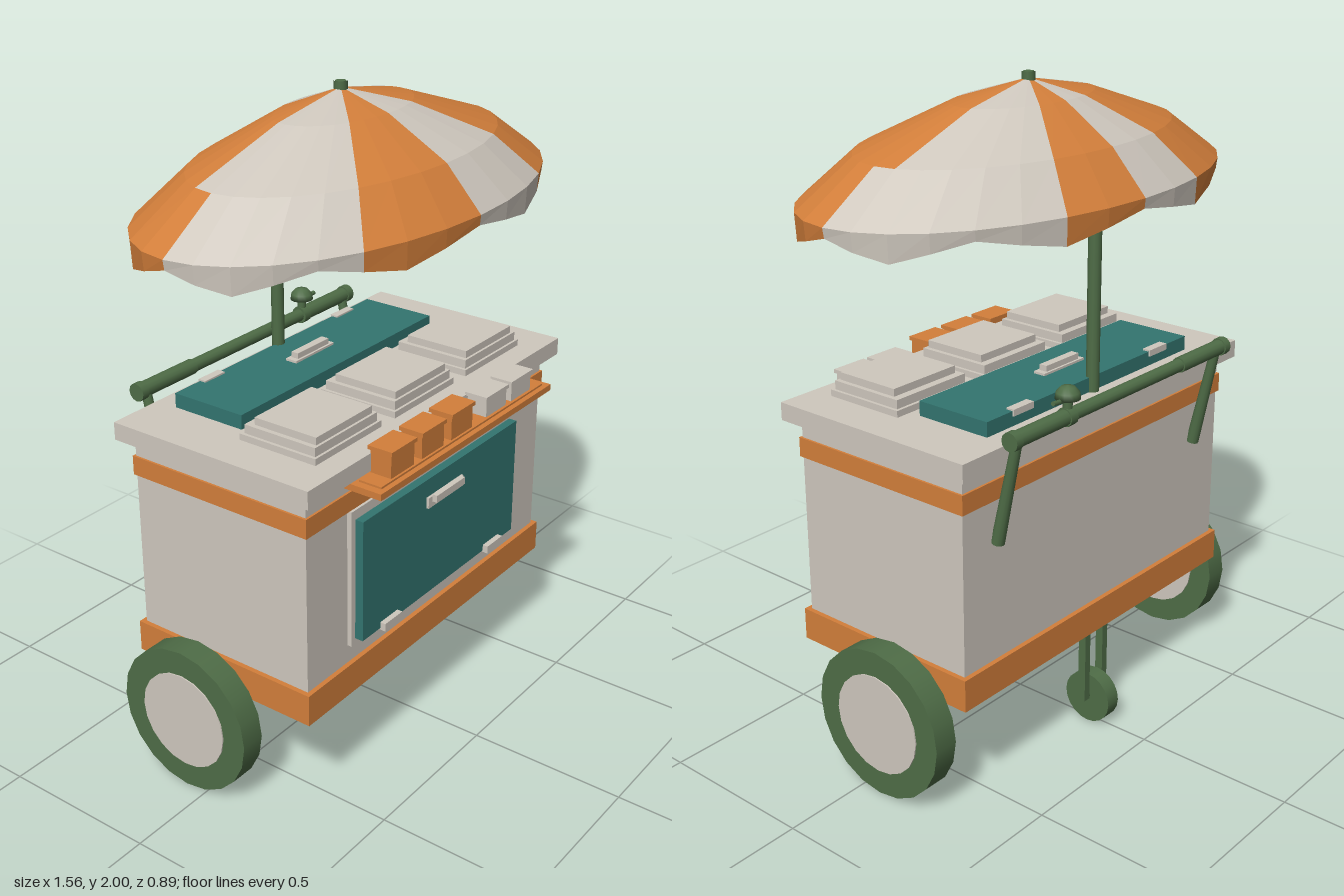
import * as THREE from 'three';

const mat = (name, color) => Object.assign(new THREE.MeshStandardMaterial({ color }), { name });

export function createModel() {
  const cream = mat('cream', 0xcfc8be), orange = mat('orange', 0xd37f3b);
  const green = mat('green', 0x4f6d47), teal = mat('teal', 0x337570);
  const model = new THREE.Group();
  model.name = 'umbrellaCart';

  const add = (name, geo, material, parent = model) => {
    const m = new THREE.Mesh(geo, material);
    m.name = name;
    parent.add(m);
    return m;
  };
  // Box given by its limits on each axis
  const box = (name, material, x0, x1, y0, y1, z0, z1, parent) => {
    const m = add(name, new THREE.BoxGeometry(x1 - x0, y1 - y0, z1 - z0), material, parent);
    m.position.set((x0 + x1) / 2, (y0 + y1) / 2, (z0 + z1) / 2);
    return m;
  };
  // Rod between two points, with a radius at each end
  const rod = (name, material, a, b, ra, rb = ra, sides = 12, parent = model) => {
    const p = new THREE.Vector3(...a), q = new THREE.Vector3(...b), d = q.clone().sub(p);
    const m = add(name, new THREE.CylinderGeometry(rb, ra, d.length(), sides), material, parent);
    m.position.copy(p).add(q).multiplyScalar(0.5);
    m.quaternion.setFromUnitVectors(new THREE.Vector3(0, 1, 0), d.normalize());
    return m;
  };

  // Cabinet
  box('cabinet', cream, -0.61, 0.61, 0.35, 1.05, -0.31, 0.31);
  box('lowerBand', orange, -0.625, 0.625, 0.33, 0.43, -0.325, 0.325);
  box('upperBand', orange, -0.617, 0.617, 0.93, 0.99, -0.317, 0.317);
  box('countertop', cream, -0.65, 0.65, 1.045, 1.1, -0.35, 0.35);

  // Front door
  box('doorFrame', cream, -0.425, 0.425, 0.49, 0.93, 0.3, 0.325);
  box('door', teal, -0.407, 0.407, 0.51, 0.9, 0.32, 0.352);
  box('doorHandlePlate', cream, -0.093, 0.093, 0.807, 0.842, 0.35, 0.36);
  box('doorHandle', cream, -0.075, 0.075, 0.825, 0.848, 0.36, 0.377);
  for (const x of [-0.278, 0.278]) box('doorHinge', cream, x - 0.043, x + 0.043, 0.505, 0.53, 0.35, 0.37);

  // Front shelf with its tubs
  box('shelf', orange, -0.45, 0.45, 1.015, 1.035, 0.3, 0.442);
  box('shelfTray', orange, -0.425, 0.425, 1.035, 1.041, 0.35, 0.425);
  for (const x of [-0.315, -0.167, -0.018]) {
    box('tub', orange, x - 0.055, x + 0.055, 1.04, 1.112, 0.348, 0.418);
    box('tubLid', orange, x - 0.06, x + 0.06, 1.112, 1.124, 0.342, 0.424);
  }
  for (const x of [0.172, 0.312]) {
    box('cup', cream, x - 0.055, x + 0.055, 1.04, 1.095, 0.35, 0.416);
    box('cupLid', cream, x - 0.062, x + 0.062, 1.095, 1.107, 0.345, 0.42);
  }

  // Stepped lids on the counter
  for (const x of [-0.37, 0, 0.37]) {
    box('lidRim', cream, x - 0.152, x + 0.152, 1.1, 1.12, 0.01, 0.276);
    box('lidStep', cream, x - 0.142, x + 0.142, 1.12, 1.147, 0.02, 0.268);
    box('lidTop', cream, x - 0.127, x + 0.127, 1.147, 1.17, 0.045, 0.26);
  }

  // Rear hatch
  box('hatch', teal, -0.47, 0.47, 1.1, 1.145, -0.277, -0.027);
  box('hatchHandlePlate', cream, -0.093, 0.093, 1.145, 1.152, -0.17, -0.13);
  box('hatchHandle', cream, -0.075, 0.075, 1.152, 1.17, -0.163, -0.137);
  for (const x of [-0.32, 0.32]) box('hatchHinge', cream, x - 0.043, x + 0.043, 1.13, 1.15, -0.282, -0.255);

  // Main wheels and axle
  rod('axle', green, [-0.66, 0.24, -0.07], [0.66, 0.24, -0.07], 0.027);
  for (const s of [-1, 1]) {
    rod('tyre', green, [s * 0.643, 0.235, -0.07], [s * 0.722, 0.235, -0.07], 0.233, 0.233, 20);
    rod('wheelDisc', cream, [s * 0.639, 0.235, -0.07], [s * 0.726, 0.235, -0.07], 0.155, 0.155, 20);
  }

  // Castor
  rod('castorWheel', green, [-0.025, 0.083, -0.295], [0.025, 0.083, -0.295], 0.083, 0.083, 20);
  rod('castorAxle', green, [-0.055, 0.095, -0.295], [0.055, 0.095, -0.295], 0.012);
  for (const s of [-1, 1]) box('castorFork', green, s * 0.043 - 0.012, s * 0.043 + 0.012, 0.085, 0.34, -0.308, -0.282);

  // Push handle
  rod('pushBar', green, [-0.5, 1.13, -0.392], [0.5, 1.13, -0.392], 0.02);
  for (const s of [-1, 1]) {
    rod('grip', green, [s * 0.27, 1.13, -0.392], [s * 0.49, 1.13, -0.392], 0.024);
    rod('gripEnd', green, [s * 0.485, 1.13, -0.392], [s * 0.512, 1.13, -0.392], 0.028);
    rod('handleArm', green, [s * 0.475, 1.13, -0.39], [s * 0.475, 0.8, -0.318], 0.015, 0.02);
  }

  // Bell on the bar
  const bell = new THREE.Group();
  bell.name = 'bell';
  bell.position.set(0.265, 1.13, -0.392);
  model.add(bell);
  rod('bellCollar', green, [-0.015, 0, 0], [0.015, 0, 0], 0.028, 0.028, 12, bell);
  rod('bellStem', green, [0, 0, 0], [0, 0.06, 0], 0.014, 0.014, 12, bell);
  const dome = [[0, 0.05], [0.037, 0.053], [0.034, 0.072], [0.02, 0.087], [0, 0.092]];
  add('bellDome', new THREE.LatheGeometry(dome.map(p => new THREE.Vector2(...p)), 16), green, bell);
  rod('bellLever', green, [0.01, 0.05, 0], [0.065, 0.055, 0], 0.007, 0.007, 8, bell);

  // Pole, bent forward under the canopy
  const pole = new THREE.CurvePath();
  const pts = [[1.09, -0.275], [1.69, -0.275], [1.735, -0.255], [1.9, -0.055], [1.93, -0.03], [2, -0.03]]
    .map(([y, z]) => new THREE.Vector3(0, y, z));
  pole.add(new THREE.LineCurve3(pts[0], pts[1]));
  pole.add(new THREE.QuadraticBezierCurve3(pts[1], new THREE.Vector3(0, 1.715, -0.275), pts[2]));
  pole.add(new THREE.LineCurve3(pts[2], pts[3]));
  pole.add(new THREE.QuadraticBezierCurve3(pts[3], new THREE.Vector3(0, 1.92, -0.03), pts[4]));
  pole.add(new THREE.LineCurve3(pts[4], pts[5]));
  add('pole', new THREE.TubeGeometry(pole, 60, 0.02, 12), green);
  rod('finial', green, [0, 1.965, -0.03], [0, 2, -0.03], 0.016);

  // Canopy: elliptical rings [radius x, radius z, y, centre z], the last one scalloped
  const rings = [[0, 0, 1.982, -0.03], [0.265, 0.15, 1.932, -0.015], [0.59, 0.33, 1.825, 0],
    [0.78, 0.445, 1.7, 0], [0.775, 0.442, 1.67, 0]];
  const SEG = 32;
  const point = (r, i) => {
    const [rx, rz, y, cz] = rings[r], t = i / SEG * Math.PI * 2;
    const drop = r === 4 ? 0.05 * (1 - Math.abs(i % 4 - 2) / 2) : 0;
    return new THREE.Vector3(rx * Math.cos(t), y - drop, cz + rz * Math.sin(t));
  };
  const faces = [[], []];
  for (let r = 0; r < 4; r++) for (let i = 0; i < SEG; i++) {
    const a = point(r, i), b = point(r, i + 1), c = point(r + 1, i), d = point(r + 1, i + 1);
    // The valance takes the colour of the panel above it
    const mid = new THREE.Vector3();
    const k = Math.min(r, 2);
    for (const p of [point(k, i), point(k, i + 1), point(k + 1, i), point(k + 1, i + 1)]) mid.addScaledVector(p, 0.25);
    const angle = (Math.atan2(mid.z + 0.035, mid.x) + Math.PI * 2) % (Math.PI * 2);
    const list = faces[Math.floor(angle / (Math.PI / 4)) % 2];
    list.push(a, d, c);
    if (r > 0) list.push(a, b, d);
  }
  [orange, cream].forEach((material, i) => {
    const geo = new THREE.BufferGeometry().setFromPoints(faces[i]);
    geo.computeVertexNormals();
    material.side = THREE.DoubleSide;
    add(i ? 'canopyPaleGores' : 'canopyBrightGores', geo, material);
  });

  // Canopy ribs
  for (let i = 0; i < 8; i++) {
    const t = i * Math.PI / 4;
    rod('rib', green, [0, 1.93, -0.03], [0.74 * Math.cos(t), 1.7, 0.42 * Math.sin(t)], 0.007, 0.005, 6);
  }
  return model;
}
